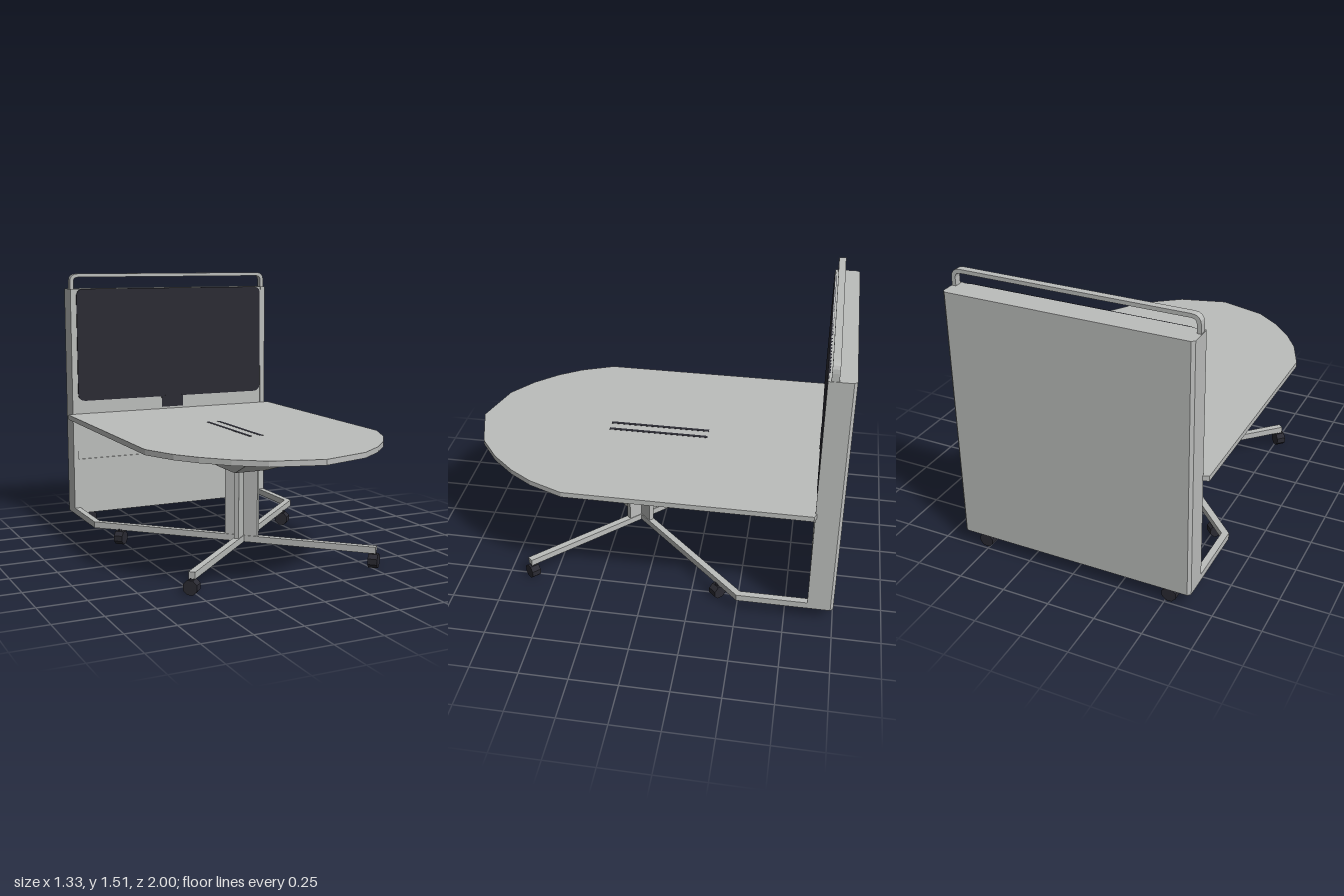
import * as THREE from 'three';

const grey = new THREE.MeshStandardMaterial({ color: 0xbcbebc });
grey.name = 'light grey';
const dark = new THREE.MeshStandardMaterial({ color: 0x2b2b33 });
dark.name = 'dark charcoal';
grey.flatShading = dark.flatShading = true;

export function createModel() {
  const model = new THREE.Group();

  const add = (name, geometry, material = grey) => {
    const mesh = new THREE.Mesh(geometry, material);
    mesh.name = name;
    model.add(mesh);
    return mesh;
  };
  // Box given by its limits on each axis
  const box = (name, x0, x1, y0, y1, z0, z1, material) =>
    add(name, new THREE.BoxGeometry(x1 - x0, y1 - y0, z1 - z0), material)
      .position.set((x0 + x1) / 2, (y0 + y1) / 2, (z0 + z1) / 2);
  const polygon = (pts) => new THREE.Shape(pts.map(([x, y]) => new THREE.Vector2(x, y)));
  // Plan outline of [x, z] points raised between two heights
  const slab = (name, pts, y0, y1, material) => {
    const g = new THREE.ExtrudeGeometry(polygon(pts.map(([x, z]) => [x, -z])),
      { depth: y1 - y0, bevelEnabled: false });
    g.rotateX(-Math.PI / 2).translate(0, y0, 0);
    return add(name, g, material);
  };
  // Right half of an outline, continued by its mirror image
  const mirrored = (half) => [...half,
    ...half.filter(([x]) => x !== 0).reverse().map(([x, z]) => [-x, z])];

  // Table top with a rounded front and two cable slots
  slab('tableTop', mirrored([[0.62, -0.88], [0.665, -0.862], [0.665, 0.4], [0.59, 0.58],
    [0.51, 0.7], [0.4, 0.82], [0.26, 0.925], [0, 1]]), 0.655, 0.683);
  for (const s of [-1, 1]) {
    box('cableSlot', s * 0.032 - 0.01, s * 0.032 + 0.01, 0.681, 0.684, -0.26, 0.28, dark);
  }

  // Tapered housing under the top: a box whose lower face is drawn in
  const housing = new THREE.BoxGeometry(1, 1, 1);
  const p = housing.attributes.position;
  for (let i = 0; i < p.count; i++) {
    const top = p.getY(i) > 0;
    const front = p.getZ(i) > 0;
    p.setXYZ(i, Math.sign(p.getX(i)) * (top ? 0.233 : 0.095), top ? 0.656 : 0.482,
      top ? (front ? 0.74 : -0.69) : (front ? 0.22 : 0));
  }
  housing.computeVertexNormals();
  add('underTableHousing', housing);

  // Cross-shaped column
  for (const s of [-1, 1]) {
    const fin = add('columnFin', new THREE.BoxGeometry(0.184, 0.39, 0.028));
    fin.position.set(0, 0.295, 0.11);
    fin.rotation.y = s * Math.PI / 4;
  }

  // Base legs: diagonal arms, the rear ones bending back to the cabinet
  for (const s of [-1, 1]) {
    const flip = (pts) => pts.map(([x, z]) => [s * x, z]);
    slab('frontLeg', flip([[-0.0125, 0.1225], [0.0125, 0.0975], [0.535, 0.62], [0.51, 0.645]]),
      0.08, 0.115);
    slab('rearLeg', flip([[0.0125, 0.1225], [-0.0125, 0.0975], [0.6, -0.515], [0.6, -0.88],
      [0.635, -0.88], [0.635, -0.5]]), 0.08, 0.115);
  }

  // Casters: leg wheels stand diagonally, cabinet wheels face forward
  const wheel = new THREE.CylinderGeometry(0.039, 0.039, 0.05, 8);
  wheel.rotateY(Math.PI / 8).rotateX(Math.PI / 2);
  for (const s of [-1, 1]) {
    for (const [z, turn] of [[0.62, s * Math.PI / 4], [-0.39, -s * Math.PI / 4], [-0.96, 0]]) {
      const caster = add('caster', wheel, dark);
      caster.position.set(s * 0.517, 0.038, z);
      caster.rotation.y = turn;
      add('casterStem', new THREE.CylinderGeometry(0.014, 0.014, 0.03, 8), dark)
        .position.set(s * 0.517, 0.07, z);
    }
  }

  // Cabinet with chamfered rear corners, side posts and front panels
  slab('cabinetBody', mirrored([[0.62, -1], [0.635, -0.985], [0.635, -0.876]]), 0.08, 1.42);
  for (const s of [-1, 1]) {
    box('cabinetPost', s * 0.62 - 0.015, s * 0.62 + 0.015, 0.08, 1.42, -0.878, -0.866);
  }
  box('lowerFrontPanel', -0.605, 0.605, 0.08, 0.41, -0.878, -0.869);
  box('upperFrontPanel', -0.605, 0.605, 0.46, 1.42, -0.878, -0.869);

  // Rectangle with rounded corners, traced on a shape or hole path
  const roundRect = (path, w, y0, y1, r) => {
    path.moveTo(-w + r, y0).lineTo(w - r, y0);
    path.quadraticCurveTo(w, y0, w, y0 + r).lineTo(w, y1 - r);
    path.quadraticCurveTo(w, y1, w - r, y1).lineTo(-w + r, y1);
    path.quadraticCurveTo(-w, y1, -w, y1 - r).lineTo(-w, y0 + r);
    path.quadraticCurveTo(-w, y0, -w + r, y0);
    return path;
  };

  // Screen, its mount plate and the small unit below it
  const screen = new THREE.ExtrudeGeometry(roundRect(new THREE.Shape(), 0.6, 0.76, 1.42, 0.045),
    { depth: 0.016, bevelEnabled: false, curveSegments: 5 });
  add('screen', screen.translate(0, 0, -0.879), dark);
  box('mountPlate', -0.115, 0.115, 0.683, 0.77, -0.875, -0.867);
  box('sensorUnit', -0.07, 0.07, 0.695, 0.765, -0.872, -0.862, dark);

  // Top rail: a flat bar bent into an arch
  const arch = new THREE.Shape();
  arch.moveTo(-0.632, 1.41).lineTo(-0.632, 1.46);
  arch.quadraticCurveTo(-0.632, 1.508, -0.584, 1.508).lineTo(0.584, 1.508);
  arch.quadraticCurveTo(0.632, 1.508, 0.632, 1.46).lineTo(0.632, 1.41);
  arch.lineTo(0.611, 1.41).lineTo(0.611, 1.46);
  arch.quadraticCurveTo(0.611, 1.488, 0.583, 1.488).lineTo(-0.583, 1.488);
  arch.quadraticCurveTo(-0.611, 1.488, -0.611, 1.46).lineTo(-0.611, 1.41);
  const rail = new THREE.ExtrudeGeometry(arch, { depth: 0.037, bevelEnabled: false, curveSegments: 4 });
  add('topRail', rail.translate(0, 0, -0.918));

  return model;
}
